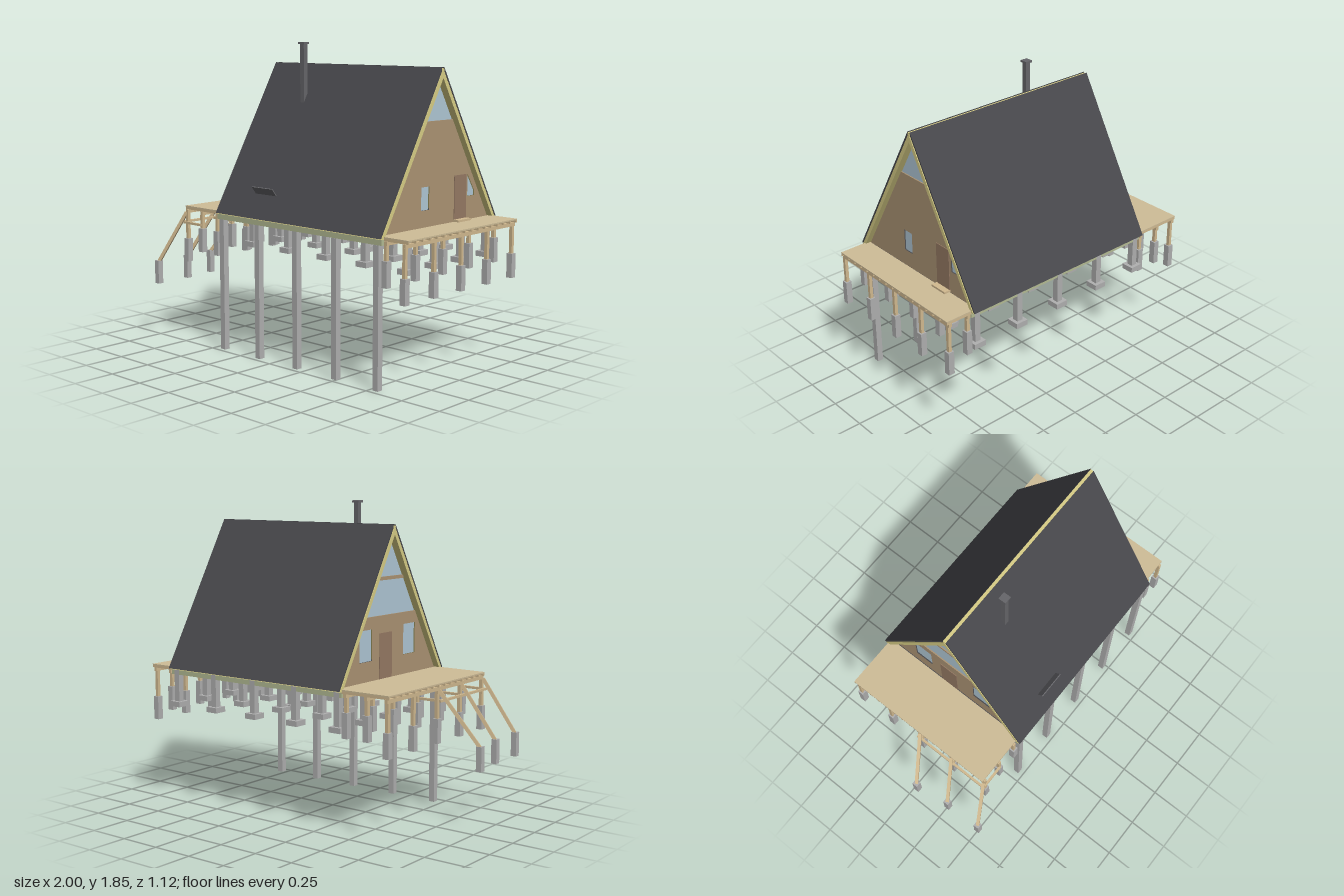
import * as THREE from 'three';

const mat = (color) => new THREE.MeshStandardMaterial({ color });
const M = {
  roof: mat(0x48484c), frame: mat(0xd8ce86), deck: mat(0xcfbd98), wall: mat(0xac9474),
  door: mat(0x967a64), glass: mat(0xb0c8d6), concrete: mat(0xb0b0b0),
  sill: mat(0xb4bc94), timber: mat(0xd2ba90), steel: mat(0x66666a),
};

const X0 = -0.47, X1 = 0.83;          // ends of the house
const C = -0.036;                     // z of the ridge
const FLOOR = 0.842, SLOPE = 1.71;    // floor level and roof steepness
const INNER = 1.665;                  // apex of the gable opening
const half = (y) => (INNER - y) / SLOPE;
const ROWS = [0.453, 0.21, -0.03, -0.27, -0.512];
const COLS = [-0.435, -0.13, 0.18, 0.485, 0.79];

export function createModel() {
  const root = new THREE.Group();

  const group = (name) => {
    const g = new THREE.Group();
    g.name = name;
    root.add(g);
    return g;
  };
  const add = (parent, name, geo, material) => {
    const m = new THREE.Mesh(geo, material);
    m.name = name;
    parent.add(m);
    return m;
  };
  // box given by its extents
  const box = (parent, name, material, x0, x1, y0, y1, z0, z1) => {
    const m = add(parent, name, new THREE.BoxGeometry(x1 - x0, y1 - y0, z1 - z0), material);
    m.position.set((x0 + x1) / 2, (y0 + y1) / 2, (z0 + z1) / 2);
    return m;
  };
  // upright square post
  const post = (parent, name, material, x, z, y0, y1, w) =>
    box(parent, name, material, x - w / 2, x + w / 2, y0, y1, z - w / 2, z + w / 2);
  // square bar between two points
  const bar = (parent, name, material, a, b, w) => {
    const p = new THREE.Vector3(...a), q = new THREE.Vector3(...b);
    const m = add(parent, name, new THREE.BoxGeometry(w, w, p.distanceTo(q)), material);
    m.position.copy(p).add(q).multiplyScalar(0.5);
    m.lookAt(q);
    return m;
  };
  // [z, y] outline, with holes, extruded along x
  const prism = (parent, name, material, pts, x0, x1, holes = []) => {
    const v = (list) => list.map(([z, y]) => new THREE.Vector2(-z, y));
    const shape = new THREE.Shape(v(pts));
    holes.forEach((h) => shape.holes.push(new THREE.Path(v(h))));
    const geo = new THREE.ExtrudeGeometry(shape, { depth: x1 - x0, bevelEnabled: false });
    geo.rotateY(Math.PI / 2).translate(x0, 0, 0);
    return add(parent, name, geo, material);
  };
  const rect = (z0, z1, y0, y1) => [[z0, y0], [z1, y0], [z1, y1], [z0, y1]];

  // roof: dark sheets on a cream rafter layer, with an open ridge
  const roof = group('roof');
  for (const s of [1, -1]) {
    prism(roof, 'roofSheet', M.roof,
      [[C + s * 0.522, 0.838], [C + s * 0.01, 1.724], [C + s * 0.01, 1.705], [C + s * 0.511, 0.838]], X0, X1);
    prism(roof, 'rafterLayer', M.frame,
      [[C + s * 0.511, 0.832], [C + s * 0.004, 1.708], [C, 1.708], [C, INNER], [C + s * half(0.832), 0.832]],
      X0 - 0.002, X1 + 0.002);
  }
  box(roof, 'ridgeBoard', M.frame, X0, X1, 1.69, 1.718, C - 0.011, C + 0.011);

  // gable ends
  const gable = (name, x0, x1, out, wallTop, windows, doorZ) => {
    const g = group(name);
    const hw = half(FLOOR), ht = half(wallTop);
    prism(g, 'gableWall', M.wall,
      [[C + hw, FLOOR], [C + ht, wallTop], [C - ht, wallTop], [C - hw, FLOOR]], x0, x1, windows);
    const mid = (x0 + x1) / 2;
    prism(g, 'gableGlass', M.glass, [[C + ht, wallTop], [C, INNER], [C - ht, wallTop]], mid - 0.008, mid + 0.008);
    windows.forEach((w) => prism(g, 'window', M.glass, w, mid - 0.008, mid + 0.008));
    const face = out > 0 ? x1 : x0;
    box(g, 'door', M.door, face - 0.004, face + 0.004, FLOOR, 1.11, doorZ[0], doorZ[1]);
    return g;
  };
  gable('rightGable', 0.765, 0.795, 1, 1.43,
    [rect(0.03, 0.1, 0.94, 1.07), [[-0.32, 0.98], [-0.32, 1.11], [-0.385, 1.01], [-0.385, 0.98]]],
    [-0.305, -0.195]);
  const leftEnd = gable('leftGable', -0.435, -0.405, -1, 1.21,
    [rect(-0.32, -0.2, 0.96, 1.14), rect(0.11, 0.23, 0.96, 1.14)], [-0.13, -0.01]);
  box(leftEnd, 'transom', M.wall, -0.435, -0.405, 1.41, 1.43, C - half(1.42), C + half(1.42));
  box(root, 'doorStep', M.timber, 0.795, 0.835, FLOOR, 0.858, -0.305, -0.19);

  // chimney and roof flap
  const chimney = group('chimney');
  post(chimney, 'pipe', M.steel, -0.115, 0.09, 1.47, 1.84, 0.03);
  post(chimney, 'cap', M.steel, -0.115, 0.09, 1.84, 1.852, 0.046);
  prism(root, 'roofFlap', M.steel, [[0.402, 0.965], [0.441, 1.015], [0.436, 1.018], [0.398, 0.97]], -0.2, -0.03);

  // floor slab, sills and piers under the house
  const base = group('houseBase');
  box(base, 'floor', M.roof, X0 + 0.01, X1 - 0.01, 0.828, FLOOR, C - 0.49, C + 0.49);
  for (const z of [ROWS[0], ROWS[4]])
    box(base, 'sill', M.sill, X0, X1, 0.8, 0.832, z - 0.018, z + 0.018);
  for (const x of COLS) {
    post(base, 'tallPost', M.concrete, x, ROWS[0], 0, 0.8, 0.037);
    for (const z of ROWS.slice(1)) pier(x, z);
  }
  pier(0.18, -0.172);
  function pier(x, z) {
    post(base, 'pier', M.concrete, x, z, 0.62, 0.828, 0.037);
    post(base, 'footing', M.concrete, x, z, 0.603, 0.635, 0.078);
  }

  // decks: boards, joists, beams and posts on concrete footings
  const deck = (name, x0, x1, lines) => {
    const g = group(name);
    box(g, 'deckBoards', M.deck, x0, x1, 0.838, 0.846, -0.53, 0.455);
    for (let i = 0; i <= 16; i++) {
      const z = -0.524 + (i / 16) * 0.973;
      box(g, 'joist', M.timber, x0, x1, 0.824, 0.838, z - 0.005, z + 0.005);
    }
    for (const [x, low, high] of lines) {
      box(g, 'beam', M.timber, x - 0.01, x + 0.01, 0.803, 0.825, -0.53, 0.462);
      for (const z of ROWS) {
        post(g, 'deckPost', M.timber, x, z, high, 0.804, 0.02);
        post(g, 'deckFooting', M.concrete, x, z, low, high, 0.037);
      }
    }
  };
  deck('rightDeck', X1 - 0.03, 0.998, [[0.848, 0.575, 0.72], [0.975, 0.5, 0.643]]);
  deck('leftDeck', -0.785, X0 + 0.03, [[-0.765, 0.5, 0.643], [-0.63, 0.575, 0.72], [-0.49, 0.575, 0.72]]);

  // sloping braces with their footings, tied to the left deck
  const braces = group('braces');
  const ends = [[-0.95, 0.543], [-0.952, 0.308], [-0.982, 0.088]];
  ends.forEach(([x, z], i) => {
    bar(braces, 'brace', M.timber, [-0.775, 0.805, ROWS[i] + 0.003], [x, 0.48, z], 0.02);
    post(braces, 'braceFooting', M.concrete, x, z, 0.345, 0.49, 0.035);
    bar(braces, 'crossTie', M.timber, [-0.79, 0.742, ROWS[i] + 0.012], [-0.63, 0.742, ROWS[i] + 0.012], 0.014);
  });
  bar(braces, 'longTie', M.timber, [-0.79, 0.745, ROWS[0] + 0.015], [-0.79, 0.745, ROWS[2] - 0.01], 0.014);

  return root;
}
